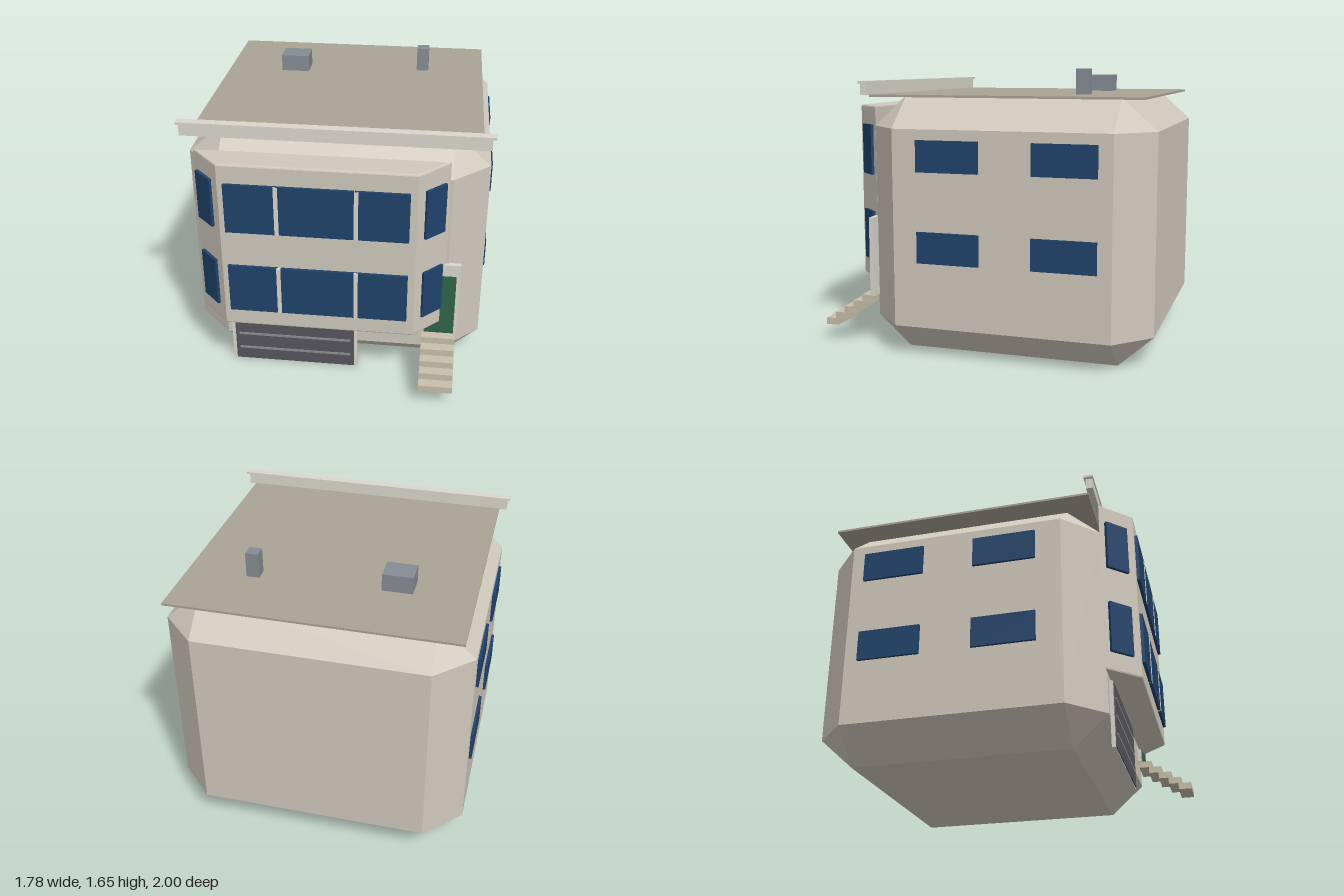
import * as THREE from 'three';
import { ConvexGeometry } from 'three/addons/geometries/ConvexGeometry.js';

const mat = (color) => new THREE.MeshStandardMaterial({ color, flatShading: true });

export function createModel() {
  const house = new THREE.Group();
  house.name = 'house';
  const wall = mat(0xcfc8bc), roofMat = mat(0xaaa496), trim = mat(0xdad6cc), glass = mat(0x20426a);
  const garageMat = mat(0x55555c), slatMat = mat(0x8a8a92), doorMat = mat(0x2f6347);
  const stone = mat(0xc8bfaa), metal = mat(0x868c94);

  const add = (name, geometry, material) => {
    const mesh = new THREE.Mesh(geometry, material);
    mesh.name = name;
    house.add(mesh);
    return mesh;
  };
  // Box given by its extents on each axis
  const box = (name, material, [x0, x1], [y0, y1], [z0, z1]) => {
    const mesh = add(name, new THREE.BoxGeometry(x1 - x0, y1 - y0, z1 - z0), material);
    mesh.position.set((x0 + x1) / 2, (y0 + y1) / 2, (z0 + z1) / 2);
    return mesh;
  };

  // Main body: a box with every edge chamfered and a triangle at each corner
  const corners = [];
  for (const s of [-1, 1]) {
    for (const [y, yIn] of [[0, 0.18], [1.5, 1.32]]) {
      for (const [z, zIn] of [[0.67, 0.47], [-1, -0.8]]) {
        corners.push(
          new THREE.Vector3(s * 0.872, yIn, zIn),
          new THREE.Vector3(s * 0.665, y, zIn),
          new THREE.Vector3(s * 0.665, yIn, z)
        );
      }
    }
  }
  add('body', new ConvexGeometry(corners), wall);

  // Flat roof, front parapet and rooftop units
  box('roof', roofMat, [-0.82, 0.82], [1.495, 1.508], [-0.95, 0.63]);
  box('parapet', trim, [-0.865, 0.86], [1.505, 1.571], [0.625, 0.665]);
  box('parapetCap', trim, [-0.882, 0.88], [1.571, 1.585], [0.615, 0.67]);
  box('roofUnit', metal, [-0.475, -0.3], [1.5, 1.61], [-0.54, -0.395]);
  box('chimney', metal, [0.395, 0.47], [1.5, 1.655], [-0.57, -0.495]);

  // Bay: trapezoid plan extruded upward with a small bevel
  const plan = new THREE.Shape([[-0.775, -0.685], [0.635, -0.685], [0.475, -0.845], [-0.615, -0.845]]
    .map(([x, y]) => new THREE.Vector2(x, y)));
  const bayGeometry = new THREE.ExtrudeGeometry(plan, {
    depth: 1.03, bevelThickness: 0.01, bevelSize: 0.01, bevelSegments: 2
  });
  bayGeometry.rotateX(-Math.PI / 2);
  add('bay', bayGeometry, wall).position.y = 0.395;

  // Bay windows on two floors: front strip with mullions, angled side panes
  for (const [y0, y1] of [[0.497, 0.8], [1.022, 1.322]]) {
    box('bayFrontWindow', glass, [-0.585, 0.44], [y0, y1], [0.85, 0.873]);
    for (const x of [-0.293, 0.148]) {
      box('mullion', trim, [x - 0.012, x + 0.012], [y0, y1], [0.85, 0.876]);
    }
    for (const [x, s] of [[0.574, 1], [-0.717, -1]]) {
      const pane = add('baySideWindow', new THREE.BoxGeometry(0.148, y1 - y0, 0.02), glass);
      pane.position.set(x, (y0 + y1) / 2, 0.765);
      pane.rotation.y = s * Math.PI / 4;
    }
  }

  // Side windows, two per floor on both sides
  for (const s of [-1, 1]) {
    for (const y of [0.65, 1.17]) {
      for (const z of [0.137, -0.535]) {
        const pane = add('sideWindow', new THREE.BoxGeometry(0.03, 0.18, 0.368), glass);
        pane.position.set(s * 0.873, y, z);
      }
    }
  }

  // Garage door with frame and slats
  box('garageFrame', trim, [-0.635, 0.14], [0, 0.39], [0.672, 0.692]);
  box('garageDoor', garageMat, [-0.613, 0.12], [0.005, 0.378], [0.68, 0.698]);
  for (const y of [0.09, 0.194, 0.297]) {
    box('garageSlat', slatMat, [-0.59, 0.097], [y - 0.007, y + 0.007], [0.69, 0.703]);
  }

  // Front door and its frame
  box('doorFrame', trim, [0.517, 0.737], [0.305, 0.78], [0.665, 0.693]);
  box('frontDoor', doorMat, [0.54, 0.715], [0.305, 0.705], [0.68, 0.7]);

  // Open stair rising to the door
  for (let i = 0; i < 5; i++) {
    const y = 0.1 + i * 0.041, z = 1 - i * 0.061;
    box('step', stone, [0.527, 0.725], [y, y + 0.041], [z - 0.08, z]);
  }
  return house;
}
